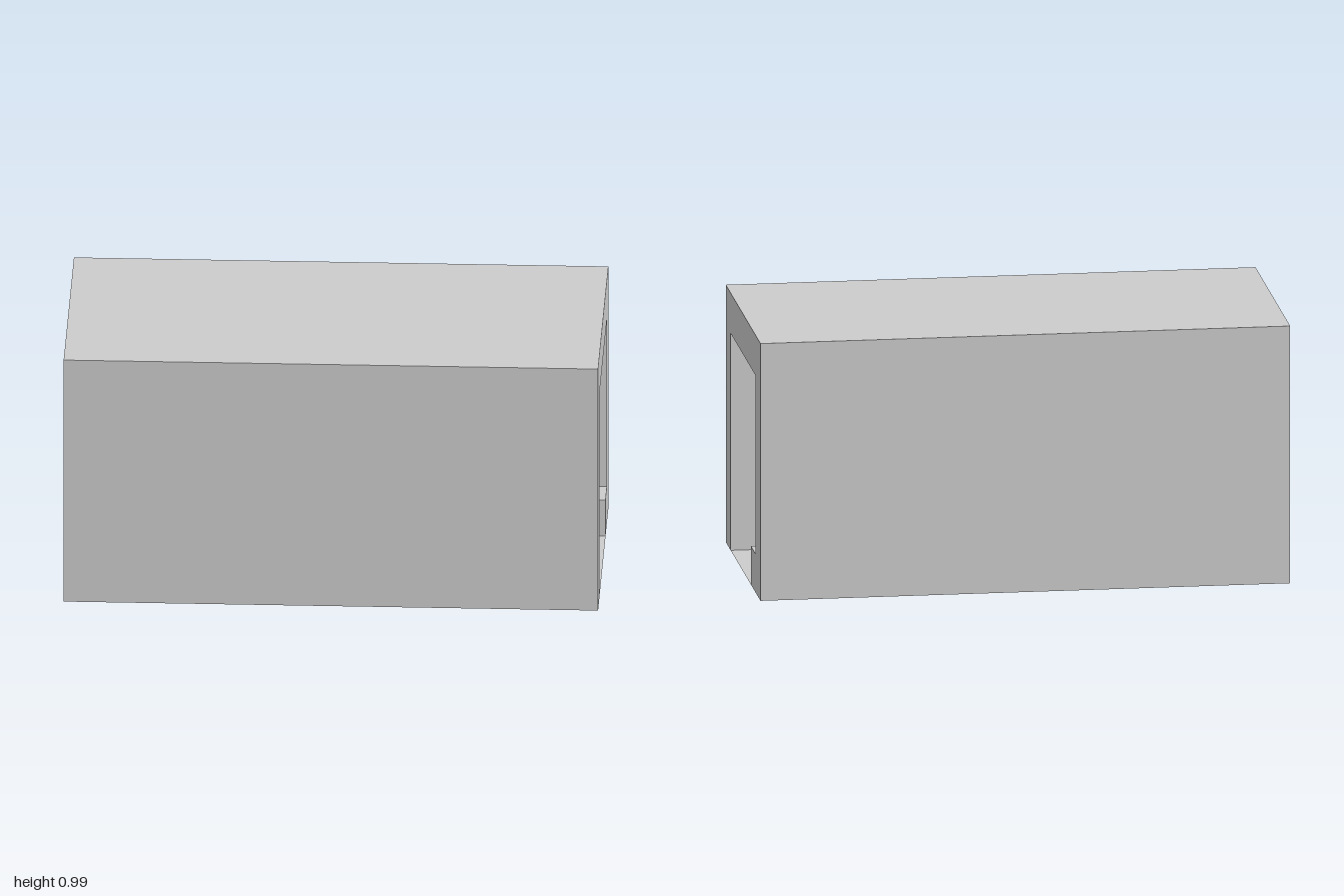
import * as THREE from 'three';

// Extrudes a [z, y] outline along x from x0 to x1
function extrudeAlongX(name, outline, x0, x1, material) {
  const shape = new THREE.Shape(outline.map(([z, y]) => new THREE.Vector2(-z, y)));
  const geometry = new THREE.ExtrudeGeometry(shape, { depth: x1 - x0, bevelEnabled: false });
  geometry.rotateY(Math.PI / 2).translate(x0, 0, 0);
  const mesh = new THREE.Mesh(geometry, material);
  mesh.name = name;
  return mesh;
}

export function createModel() {
  const group = new THREE.Group();
  group.name = 'tunnel';
  const grey = new THREE.MeshStandardMaterial({ color: 0xcccccc, flatShading: true });

  const halfLength = 1, halfWidth = 0.468, height = 0.99;
  const inner = 0.335, ceiling = 0.835, ledgeEdge = -0.21, ledgeTop = 0.148;

  // Walls, roof and the low ledge along the back wall
  group.add(extrudeAlongX('shell', [
    [halfWidth, 0], [halfWidth, height], [-halfWidth, height], [-halfWidth, 0],
    [ledgeEdge, 0], [ledgeEdge, ledgeTop], [-inner, ledgeTop],
    [-inner, ceiling], [inner, ceiling], [inner, 0],
  ], -halfLength, halfLength, grey));

  // Tapered buttress on the inside of the front wall, set in from the ends
  group.add(extrudeAlongX('buttress', [
    [inner, 0], [inner, ceiling], [0.208, ceiling], [0.27, 0.325], [0.27, 0],
  ], -0.1, 0.664, grey));

  // Paper-thin floor between the ledge and the front wall
  const floor = new THREE.Mesh(
    new THREE.PlaneGeometry(2 * halfLength, inner - ledgeEdge).rotateX(-Math.PI / 2),
    new THREE.MeshStandardMaterial({ color: 0xcccccc, side: THREE.DoubleSide }),
  );
  floor.position.z = (inner + ledgeEdge) / 2;
  floor.name = 'floor';
  group.add(floor);

  return group;
}
